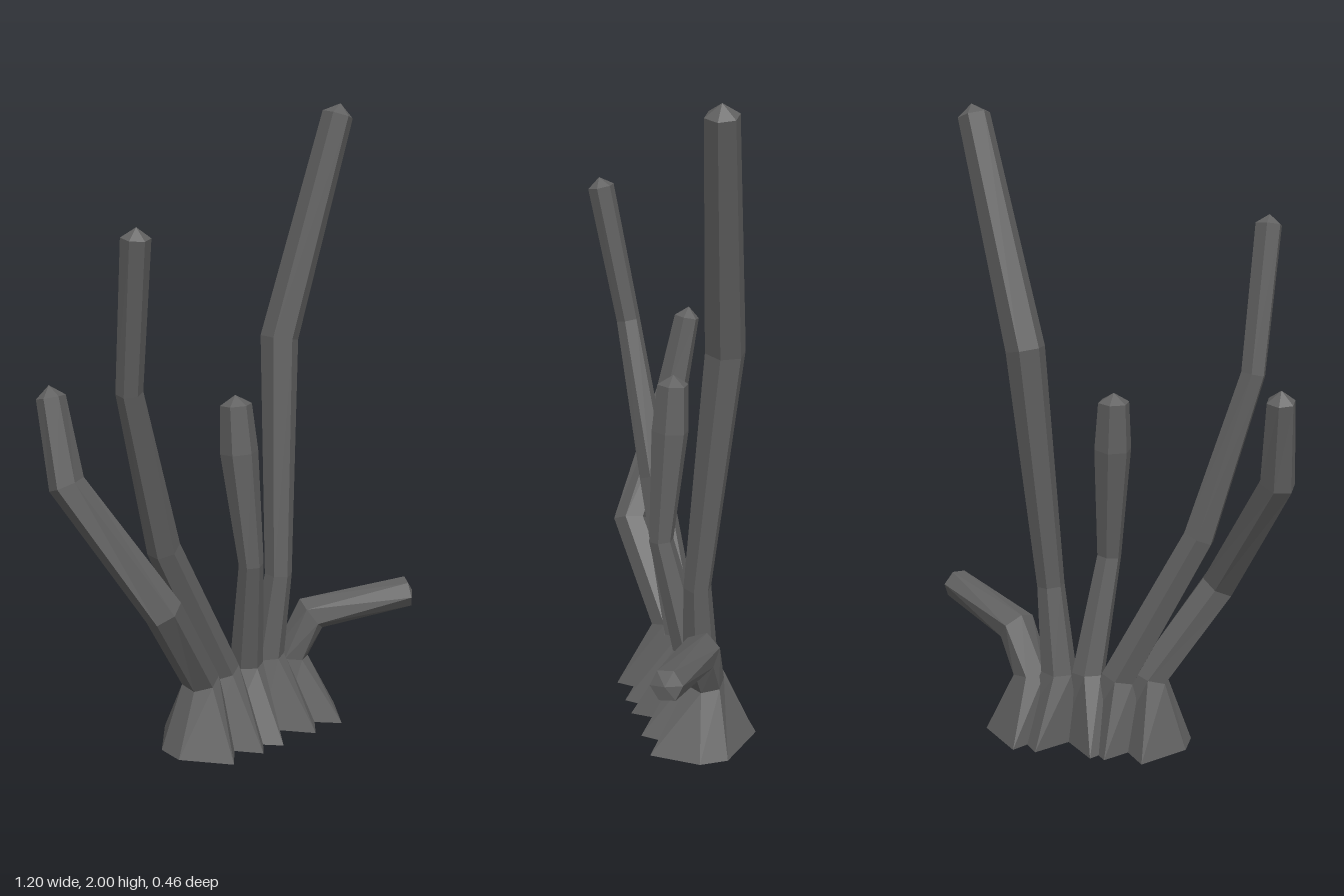
import * as THREE from 'three';

const SIDES = 6;
const material = new THREE.MeshStandardMaterial({ color: 0x606060, flatShading: true });

// Hexagonal flared foot on the ground; lean shifts the front and back corners apart.
function footRing(x, lean) {
  const half = 0.113, near = 0.045, far = 0.18;
  return [[lean, far], [half, near], [half, -near], [-lean, -far], [-half, -near], [-half, near]]
    .map(([dx, dz]) => new THREE.Vector3(x + dx, 0, dz - 0.02));
}

// Hexagon across the stalk, one corner towards the front.
function stalkRing(center, tangent, r) {
  const u = new THREE.Vector3(0, 0, 1).addScaledVector(tangent, -tangent.z).normalize();
  const v = new THREE.Vector3().crossVectors(tangent, u);
  return Array.from({ length: SIDES }, (_, k) => {
    const a = (k / SIDES) * Math.PI * 2;
    return center.clone().addScaledVector(u, r * Math.cos(a)).addScaledVector(v, r * Math.sin(a));
  });
}

// Loft a stalk through its foot and the rings [x, y, z, radius], then cap both ends.
function stalk({ name, foot, lean = 0, rings, tip }) {
  const centers = [new THREE.Vector3(foot, 0, -0.02), ...rings.map(([x, y, z]) => new THREE.Vector3(x, y, z))];
  const dir = (i) => centers[i + 1].clone().sub(centers[i]).normalize();
  const loops = [footRing(foot, lean)];
  rings.forEach((ring, j) => {
    const i = j + 1;
    const t = dir(i - 1);
    if (i < centers.length - 1) t.add(dir(i)).normalize();
    loops.push(stalkRing(centers[i], t, ring[3]));
  });
  const end = centers.length - 1;
  const apex = centers[end].clone().addScaledVector(dir(end - 1), tip);

  const positions = [];
  const tri = (...points) => points.forEach((p) => positions.push(p.x, p.y, p.z));
  for (let k = 0; k < SIDES; k++) {
    const n = (k + 1) % SIDES;
    for (let i = 0; i < end; i++) {
      const lo = loops[i], hi = loops[i + 1];
      tri(lo[k], lo[n], hi[n]);
      tri(lo[k], hi[n], hi[k]);
    }
    tri(loops[end][k], loops[end][n], apex);
    tri(loops[0][n], loops[0][k], centers[0]);
  }
  const geometry = new THREE.BufferGeometry();
  geometry.setAttribute('position', new THREE.Float32BufferAttribute(positions, 3));
  geometry.computeVertexNormals();
  const mesh = new THREE.Mesh(geometry, material);
  mesh.name = name;
  return mesh;
}

const stalks = [
  { name: 'outerRightStalk', foot: -0.165, tip: 0.035,
    rings: [[-0.155, 0.22, -0.02, 0.06], [-0.355, 0.52, 0.06, 0.06], [-0.555, 0.91, -0.14, 0.055], [-0.565, 1.165, -0.195, 0.044]] },
  { name: 'innerRightStalk', foot: -0.045, tip: 0.03,
    rings: [[-0.055, 0.22, -0.04, 0.06], [-0.3, 0.69, -0.01, 0.052], [-0.45, 1.2, 0.04, 0.04], [-0.475, 1.645, 0.12, 0.043]] },
  { name: 'middleStalk', foot: 0.02, lean: 0.02, tip: 0.03,
    rings: [[0.048, 0.22, -0.035, 0.055], [0, 0.59, 0.045, 0.04], [-0.02, 0.95, 0.01, 0.06], [-0.025, 1.1, 0, 0.05]] },
  { name: 'tallStalk', foot: 0.18, tip: 0.035,
    rings: [[0.145, 0.22, -0.045, 0.058], [0.175, 0.5, -0.025, 0.045], [0.23, 1.27, -0.09, 0.062], [0.405, 1.965, -0.02, 0.05]] },
  { name: 'bentLeftStalk', foot: 0.275, lean: 0.022, tip: 0.015,
    rings: [[0.24, 0.2, -0.035, 0.06], [0.3, 0.34, 0.0, 0.062], [0.575, 0.405, 0.18, 0.05]] },
];

export function createModel() {
  const group = new THREE.Group();
  group.name = 'stalkCluster';
  stalks.forEach((s) => group.add(stalk(s)));
  return group;
}
